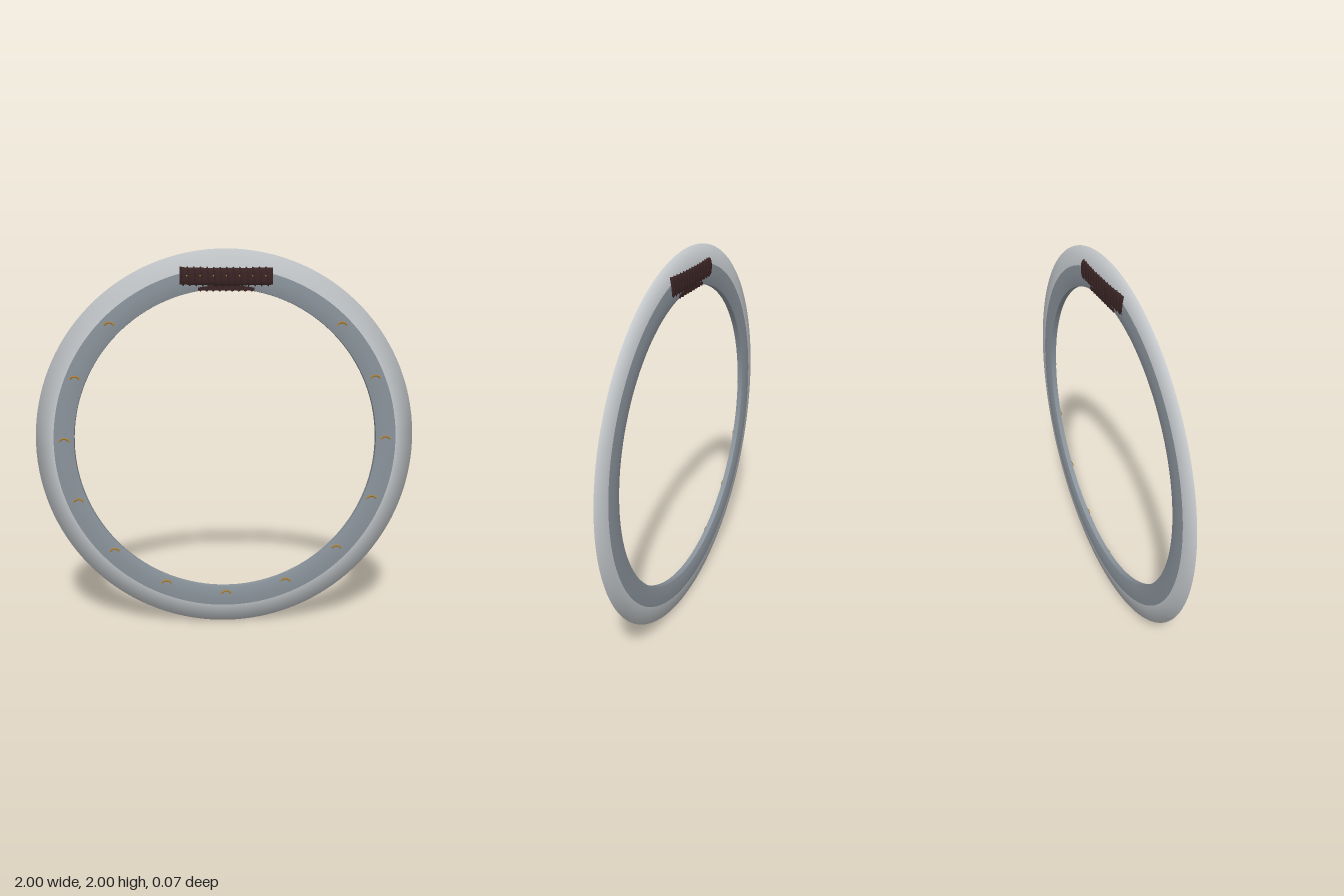
import * as THREE from 'three';

const mat = (name, color) => {
  const m = new THREE.MeshStandardMaterial({ color });
  m.name = name;
  return m;
};

export function createModel() {
  const steel = mat('steel', 0x8a939b);
  const polished = mat('polishedEdge', 0xc6cacd);
  const leather = mat('leather', 0x3a2424);
  const brass = mat('brass', 0xb08030);

  const model = new THREE.Group();
  const add = (name, geometry, material, parent = model) => {
    const mesh = new THREE.Mesh(geometry, material);
    mesh.name = name;
    parent.add(mesh);
    return mesh;
  };

  // Ring parts are turned about z from a (radius, depth) profile
  const turned = (profile) =>
    new THREE.LatheGeometry(profile.map(([r, z]) => new THREE.Vector2(r, z)), 128)
      .rotateX(Math.PI / 2).translate(0, 1, 0);

  // Sharpened outer rim, smooth across the cutting edge
  add('cuttingEdge', turned([[0.905, -0.018], [1, 0], [0.905, 0.018]]), polished);

  // Flat band: front face, back face and narrow inner wall
  add('bandBack', turned([[0.8, -0.014], [0.825, -0.02], [0.865, -0.022], [0.905, -0.018]]), steel);
  add('bandFront', turned([[0.905, 0.018], [0.865, 0.022], [0.825, 0.02], [0.8, 0.014]]), steel);
  add('innerWall', turned([[0.8, 0.014], [0.8, -0.014]]), steel);

  // Brass arches on the front, skipping the three places under the grip
  const inlays = new THREE.Group();
  inlays.name = 'inlays';
  model.add(inlays);
  const sweep = 2.3;
  const arch = new THREE.TorusGeometry(0.027, 0.005, 6, 12, sweep).rotateZ((Math.PI - sweep) / 2);
  for (let i = 0; i < 16; i++) {
    if (i >= 3 && i <= 5) continue;
    const a = (i * Math.PI) / 8;
    add('archInlay', arch, brass, inlays)
      .position.set(0.85 * Math.cos(a), 1 + 0.85 * Math.sin(a), 0.021);
  }

  // Grip: rounded oblong section swept along x
  const grip = new THREE.Group();
  grip.name = 'grip';
  grip.position.y = 1.858;
  model.add(grip);
  const section = (t, ry, rz) => {
    const p = (v) => Math.sign(v) * Math.pow(Math.abs(v), 0.65);
    return [ry * p(Math.cos(t)), rz * p(Math.sin(t))];
  };
  const outline = [];
  for (let i = 0; i < 40; i++) {
    const [y, z] = section((i / 40) * Math.PI * 2, 0.049, 0.027);
    outline.push(new THREE.Vector2(-z, y));
  }
  const core = new THREE.ExtrudeGeometry(new THREE.Shape(outline), { depth: 0.476, bevelEnabled: false });
  add('gripCore', core.translate(0, 0, -0.238).rotateY(Math.PI / 2), leather);
  grip.add(model.children.pop());

  // Leather cord wound around the grip
  class Winding extends THREE.Curve {
    getPoint(t, target = new THREE.Vector3()) {
      const [y, z] = section(t * 14 * Math.PI * 2, 0.049, 0.028);
      return target.set(-0.234 + 0.468 * t, y, z);
    }
  }
  add('gripCord', new THREE.TubeGeometry(new Winding(), 560, 0.0045, 6), leather, grip);

  // Padding below the middle of the grip, covering the inner wall
  add('palmPad', new THREE.BoxGeometry(0.29, 0.03, 0.036).translate(0, -0.053, 0), leather, grip);
  const ridge = new THREE.CylinderGeometry(0.008, 0.008, 0.036, 8).rotateX(Math.PI / 2);
  for (let i = -4; i <= 4; i++) {
    add('padRidge', ridge, leather, grip).position.set(i * 0.033, -0.065, 0);
  }

  // Row of tiny studs along the front of the grip
  const stud = new THREE.SphereGeometry(0.004, 8, 6);
  for (let i = -3; i <= 3; i++) {
    add('gripStud', stud, brass, grip).position.set(i * 0.067, 0.004, 0.031);
  }
  return model;
}
